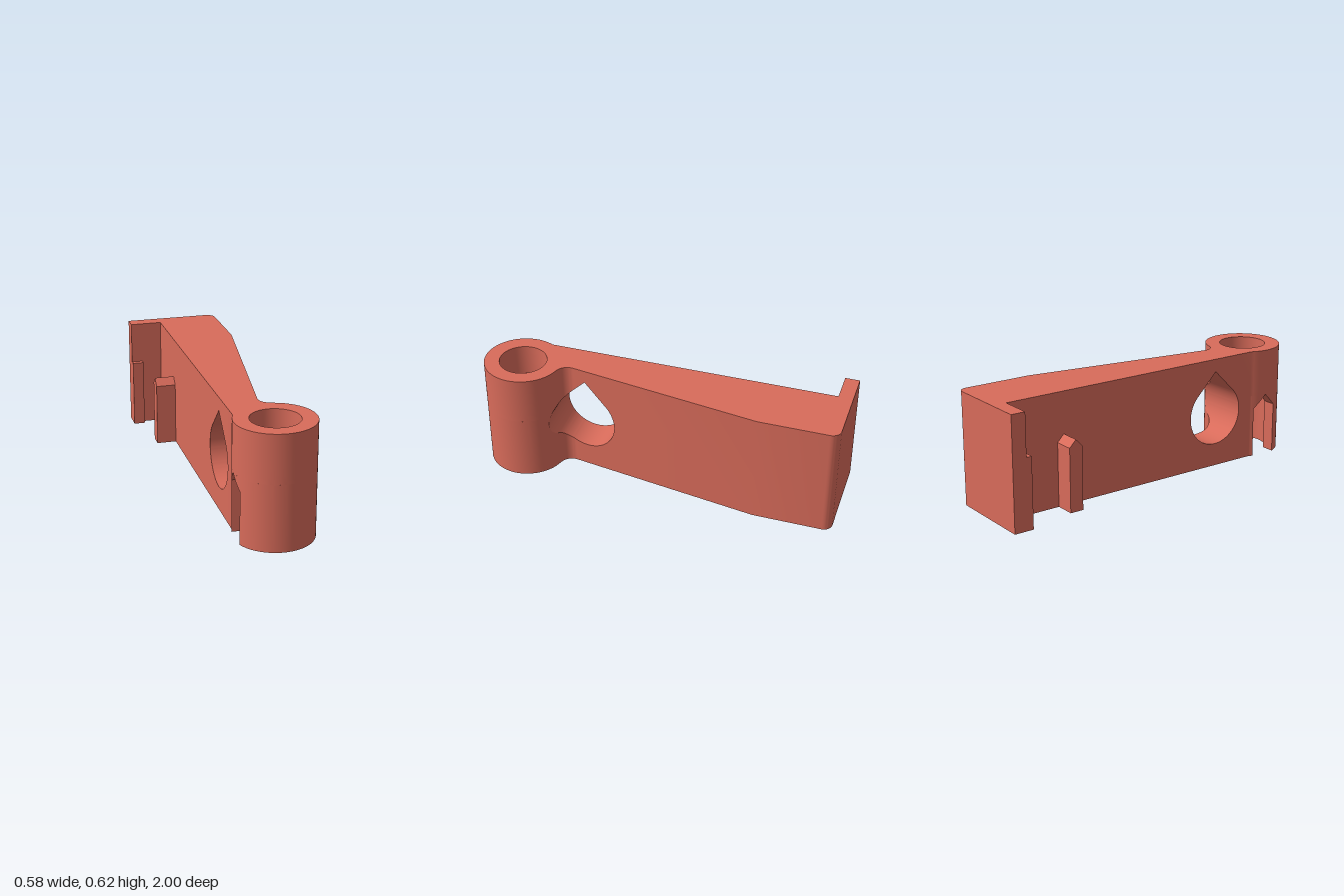
import * as THREE from 'three';
import { mergeGeometries, toCreasedNormals } from 'three/addons/utils/BufferGeometryUtils.js';

const H = 0.625;                                // overall height
const LEFT = -0.115;                            // flat side of the arm
const RING = { x: 0.075, z: 0.785, r: 0.213 };
const HOLE = { z: 0.43, y: 0.305, r: 0.175 };   // teardrop cross hole
const FILLET = { x: 0.138, z: 0.508, r: 0.07 };
const BORE = 0.145, SLOT = 0.075, SLOT_TOP = 0.362;
const HOLE_START = HOLE.z - HOLE.r, HOLE_END = HOLE.z + HOLE.r;

const chord = (r, d) => Math.sqrt(Math.max(0, r * r - d * d));

// Points on an arc around the ring axis, as [x, z]
function arc(r, a0, a1, n) {
  return Array.from({ length: n + 1 }, (_, i) => {
    const a = a0 + (a1 - a0) * i / n;
    return [RING.x + r * Math.cos(a), RING.z + r * Math.sin(a)];
  });
}

// Plan outline of [x, z] points raised from y0 to y1, with an optional round bore
function slab(points, y0, y1, bore = 0) {
  const shape = new THREE.Shape(points.map(([x, z]) => new THREE.Vector2(x, -z)));
  if (bore) {
    const hole = new THREE.Path();
    hole.absarc(RING.x, -RING.z, bore, 0, Math.PI * 2, true);
    shape.holes.push(hole);
  }
  const g = new THREE.ExtrudeGeometry(shape, { depth: y1 - y0, bevelEnabled: false, curveSegments: 32 });
  g.rotateX(-Math.PI / 2);
  g.translate(0, y0, 0);
  return g;
}

// Solid from rectangular sections [z, x0, x1, y0, y1] in order of rising z
function sections(list) {
  const pos = [];
  const corners = list.map(([z, x0, x1, y0, y1]) =>
    [[x0, y0, z], [x1, y0, z], [x1, y1, z], [x0, y1, z]]);
  const quad = (a, b, c, d) => pos.push(...a, ...b, ...c, ...a, ...c, ...d);
  for (let i = 0; i + 1 < corners.length; i++) {
    const p = corners[i], q = corners[i + 1];
    for (let k = 0; k < 4; k++) {
      const m = (k + 1) % 4;
      quad(p[k], p[m], q[m], q[k]);
    }
  }
  const s = corners[0], e = corners[corners.length - 1];
  quad(s[0], s[3], s[2], s[1]);
  quad(e[0], e[1], e[2], e[3]);
  const g = new THREE.BufferGeometry();
  g.setAttribute('position', new THREE.Float32BufferAttribute(pos, 3));
  return g;
}

// Tapered side of the arm, flowing through the fillet into the ring
function rightSide(z) {
  if (z < 0.497) return 0.232 + (0.069 - 0.232) * (z + 0.57) / (0.497 + 0.57);
  if (z < 0.576) return FILLET.x - chord(FILLET.r, z - FILLET.z);
  return RING.x + chord(RING.r, z - RING.z);
}

export function createModel() {
  const model = new THREE.Group();
  const coral = new THREE.MeshStandardMaterial({ color: 0xd86b5a });
  coral.name = 'coral';

  function add(name, ...parts) {
    const bare = parts.map((p) => {
      const g = p.index ? p.toNonIndexed() : p;
      const out = new THREE.BufferGeometry();
      out.setAttribute('position', g.getAttribute('position'));
      return out;
    });
    const mesh = new THREE.Mesh(toCreasedNormals(mergeGeometries(bare), 0.5), coral);
    mesh.name = name;
    model.add(mesh);
  }

  // Arm: rear block with rounded corner and clip plate, then the taper
  const corner = Array.from({ length: 11 }, (_, i) => {
    const a = Math.PI / 2 * i / 10;
    return [0.182 + 0.05 * Math.sin(a), -0.95 - 0.05 * Math.cos(a)];
  });
  const rear = slab([
    [-0.293, -1], ...corner, [0.232, -0.57], [rightSide(HOLE_START), HOLE_START],
    [LEFT, HOLE_START], [LEFT, -0.92], [-0.293, -0.92],
  ], 0, H);

  // Arm: stretch around the teardrop hole, as material below and above it
  const zs = Array.from({ length: 65 }, (_, i) => HOLE.z - HOLE.r * Math.cos(Math.PI * i / 64));
  const below = sections(zs.map((z) =>
    [z, LEFT, rightSide(z), 0, HOLE.y - chord(HOLE.r, z - HOLE.z)]));
  const above = sections(zs.map((z) => {
    const d = Math.abs(z - HOLE.z);
    const roof = d < HOLE.r * Math.SQRT1_2 ? HOLE.y + HOLE.r * Math.SQRT2 - d : HOLE.y + chord(HOLE.r, d);
    return [z, LEFT, rightSide(z), roof, H];
  }));
  add('arm', rear, below, above);

  // Pivot ring: slotted lower bore, narrow web and upper bore
  const joinLeft = Math.PI + Math.acos((RING.x - LEFT) / RING.r);
  const joinRight = -Math.asin((RING.z - HOLE_END) / RING.r);
  const outerSlot = Math.asin(SLOT / RING.r), innerSlot = Math.asin(SLOT / BORE);
  const start = [LEFT, HOLE_END];
  const slotted = [
    start,
    ...arc(RING.r, joinLeft, Math.PI + outerSlot, 3),
    ...arc(BORE, Math.PI + innerSlot, 3 * Math.PI - innerSlot, 48),
    ...arc(RING.r, Math.PI - outerSlot, joinRight, 48),
  ];
  const whole = [start, ...arc(RING.r, joinLeft, joinRight, 56)];
  const slotRoof = sections(Array.from({ length: 13 }, (_, i) => {
    const d = SLOT * (i - 6) / 6;
    return [RING.z + d, RING.x - chord(RING.r, d), RING.x - chord(BORE, d), SLOT_TOP - Math.abs(d), SLOT_TOP];
  }));
  add('pivotRing',
    slab(slotted, 0, SLOT_TOP),
    slotRoof,
    slab(whole, SLOT_TOP, 0.4, BORE),
    slab(whole, 0.4, 0.45, 0.07),
    slab(whole, 0.45, H, 0.13));

  // Clip lip and the gabled tab facing it
  add('clipLip', sections([[-0.92, -0.293, -0.23, 0, 0.39], [-0.89, -0.293, -0.23, 0, 0.39]]));
  add('clipTab', sections([
    [-0.623, -0.226, LEFT, 0, 0.355],
    [-0.584, -0.226, LEFT, 0, 0.395],
    [-0.545, -0.226, LEFT, 0, 0.355],
  ]));
  return model;
}
